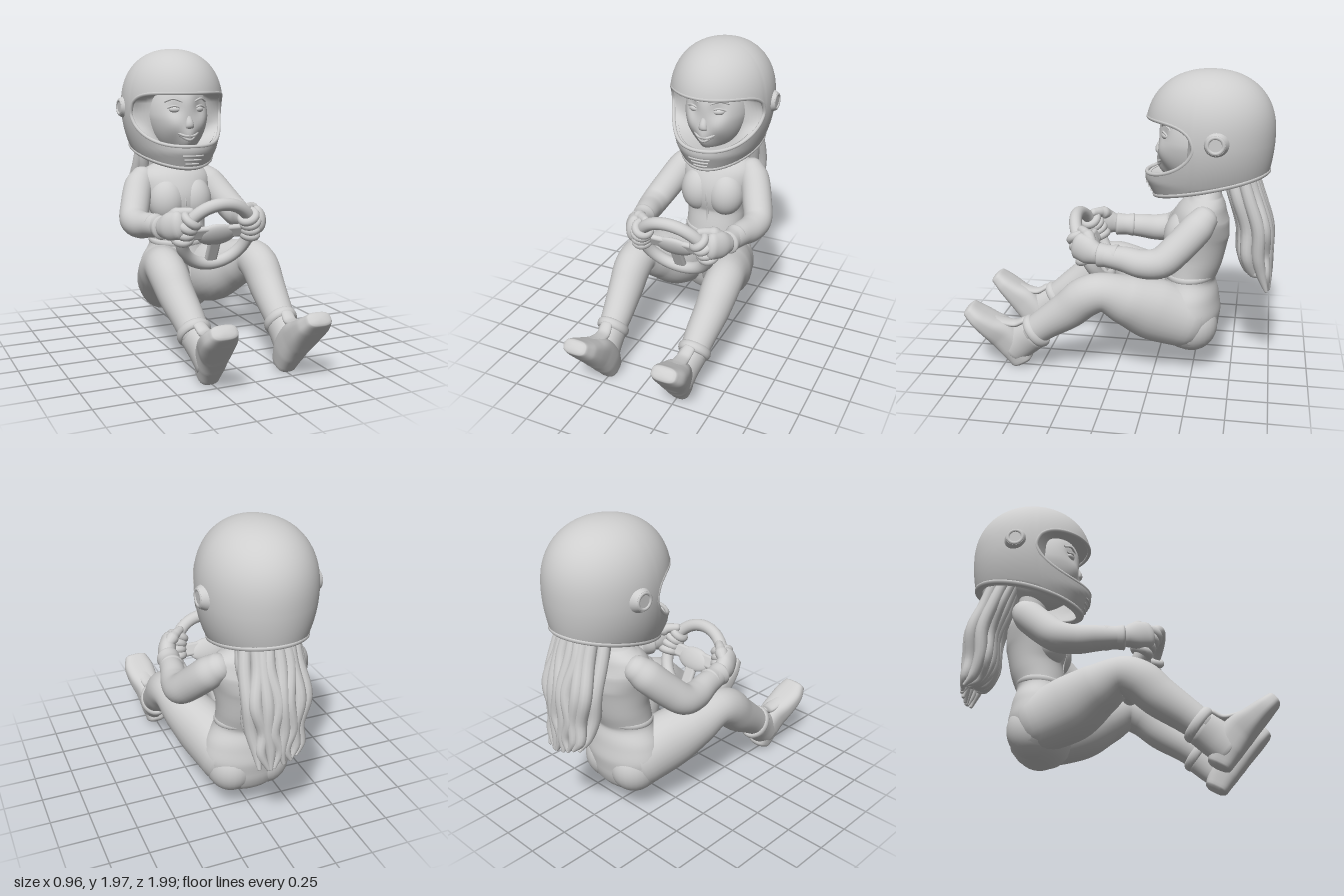
import * as THREE from 'three';
import { mergeVertices } from 'three/addons/utils/BufferGeometryUtils.js';
import { RoundedBoxGeometry } from 'three/addons/geometries/RoundedBoxGeometry.js';

const V = (x, y, z) => new THREE.Vector3(x, y, z);
const grey = new THREE.MeshStandardMaterial({ color: 0xcecece, side: THREE.DoubleSide });
grey.name = 'plain grey';

function mesh(name, geo, pos = [0, 0, 0], rot = [0, 0, 0], scale = [1, 1, 1]) {
  const m = new THREE.Mesh(geo, grey);
  m.name = name;
  m.position.set(...pos);
  m.rotation.set(...rot);
  m.scale.set(...scale);
  return m;
}

// smooth surface from a rule (row, column) -> point, with optional holes
function gridGeo(rows, cols, fn, hole = () => false) {
  const pos = [], idx = [];
  for (let i = 0; i <= rows; i++)
    for (let j = 0; j <= cols; j++) pos.push(...fn(i, j).toArray());
  for (let i = 0; i < rows; i++)
    for (let j = 0; j < cols; j++) {
      if (hole(i, j)) continue;
      const a = i * (cols + 1) + j, c = a + cols + 1;
      idx.push(a, a + 1, c, a + 1, c + 1, c);
    }
  const g = new THREE.BufferGeometry();
  g.setAttribute('position', new THREE.Float32BufferAttribute(pos, 3));
  g.setIndex(idx);
  const merged = mergeVertices(g, 1e-5);
  merged.computeVertexNormals();
  return merged;
}

// body through stations [x, y, z, halfWidth, halfDepth], rounded at both ends
function loft(name, st, { n = 28, steps = 6, p = 2, round = 0.8 } = {}) {
  const path = new THREE.CatmullRomCurve3(st.map(s => V(s[0], s[1], s[2])));
  const size = new THREE.CatmullRomCurve3(st.map(s => V(s[3], s[4] ?? s[3], 0)));
  const body = (st.length - 1) * steps, C = 4, rows = body + 2 * C;
  const sp = v => Math.sign(v) * Math.abs(v) ** (2 / p);
  return mesh(name, gridGeo(rows, n, (i, j) => {
    const t = THREE.MathUtils.clamp((i - C) / body, 0, 1);
    const over = i < C ? i - C : Math.max(0, i - C - body);
    const th = over / C * Math.PI / 2, k = Math.abs(over) === C ? 0 : Math.cos(th);
    const tan = path.getTangent(t), s = size.getPoint(t);
    const side = V(1, 0, 0).addScaledVector(tan, -tan.x).normalize();
    const up = tan.clone().cross(side);
    const a = (j % n) / n * Math.PI * 2;
    return path.getPoint(t)
      .addScaledVector(tan, Math.sin(th) * Math.min(s.x, s.y) * round)
      .addScaledVector(side, sp(Math.cos(a)) * s.x * k)
      .addScaledVector(up, sp(Math.sin(a)) * s.y * k);
  }));
}

function tube(name, pts, r, closed = false) {
  const c = new THREE.CatmullRomCurve3(pts.map(q => q.isVector3 ? q : V(...q)), closed);
  return mesh(name, new THREE.TubeGeometry(c, pts.length * 4, r, 8, closed));
}

// helmet surface at azimuth a (0 = front) and height y
function shell(a, y, inset = 0) {
  const up = Math.max(0, y - 1.6) / 0.39, d = Math.max(0, 1.6 - y);
  const k = Math.max(0, 1 - up ** 2.3) ** 0.4545;
  const zf = -0.16 - 0.5 * Math.max(0, 1.3 - y), zb = -0.968 + 0.5 * d * d;
  const hw = (0.352 - 0.71 * d * d) * k - inset, hd = (zf - zb) / 2 * k - inset;
  return V(Math.sin(a) * hw * (1 - 0.04 * Math.max(0, Math.cos(a))), y, (zf + zb) / 2 + Math.cos(a) * hd);
}

function helmet() {
  const g = new THREE.Group();
  g.name = 'helmet';
  const N = 96, O = 21, open = Math.PI * 2 / N * O;
  const turn = j => { const k = j % N; return -(k > N / 2 ? k - N : k) / N * Math.PI * 2; };
  const q = a => Math.min(1, Math.abs(a) / open);
  const brow = a => 1.55 + 0.145 * Math.sqrt(1 - q(a) ** 6);
  const chin = a => 1.55 - 0.21 * (1 - q(a) ** 3) ** 0.6;
  const rim = a => 1.27 - 0.09 * Math.cos(a);
  const mix = THREE.MathUtils.lerp;
  // outside from crown to rim, then back up the inside
  g.add(mesh('helmetShell', gridGeo(36, N, (i, j) => {
    const a = turn(j);
    if (i <= 18) return shell(a, mix(1.99, brow(a), 1 - Math.cos(i / 18 * Math.PI / 2)));
    if (i <= 27) return shell(a, mix(chin(a), rim(a), (i - 19) / 8));
    return shell(a, mix(rim(a), chin(a), (i - 28) / 8), 0.04);
  }, (i, j) => i === 18 && (j < O || j >= N - O))));
  // edge trims and the lining that narrows to the face
  const edge = [], base = [];
  for (let i = -O; i < O; i++) edge.push([i / O * open, brow(i / O * open)]);
  for (let i = O; i > -O; i--) edge.push([i / O * open, chin(i / O * open)]);
  for (let i = 0; i < 48; i++) { const a = i / 24 * Math.PI; base.push(shell(a, rim(a) + 0.012, 0.008)); }
  g.add(tube('openingTrim', edge.map(([a, y]) => shell(a, y, 0.01)), 0.013, true), tube('rimTrim', base, 0.016, true));
  g.add(mesh('lining', gridGeo(6, edge.length, (i, j) => {
    const [a, y] = edge[j % edge.length], from = shell(a, y, 0.01);
    const t = Math.atan2(from.y - 1.53, from.x * 0.65);
    return from.lerp(V(0.195 * Math.cos(t), 1.53 + 0.23 * Math.sin(t), -0.44), i / 6);
  })));
  // visor pivots
  for (const s of [1, -1]) {
    g.add(mesh('pivotDisc', new THREE.CylinderGeometry(0.06, 0.085, 0.05, 32), [s * 0.345, 1.59, -0.62], [0, 0, -s * Math.PI / 2]));
    g.add(mesh('pivotRing', new THREE.TorusGeometry(0.048, 0.012, 10, 32), [s * 0.365, 1.59, -0.62], [0, Math.PI / 2, 0]));
  }
  // chin vents
  for (let i = 0; i < 3; i++)
    g.add(tube('chinVent', [-1, -0.5, 0, 0.5, 1].map(u => shell(u * (0.2 + 0.04 * i), 1.22 + 0.028 * i, 0)), 0.008));
  return g;
}

function face() {
  const g = new THREE.Group();
  g.name = 'head';
  g.position.z = 0.028;
  // skull with a tapered jaw, full cheeks, forehead and chin
  const skull = new THREE.SphereGeometry(1, 64, 48), p = skull.attributes.position;
  const bump = (x, y, cx, cy, r) => Math.exp(-((x - cx) ** 2 + (y - cy) ** 2) / (r * r));
  for (let i = 0; i < p.count; i++) {
    const x = p.getX(i), y = p.getY(i), z = p.getZ(i);
    if (z > 0) p.setZ(i, z + 0.1 * bump(Math.abs(x), y, 0.48, -0.2, 0.3) + 0.16 * bump(x, y, 0, -0.72, 0.28)
      + 0.12 * bump(x, y, 0, -0.42, 0.25) - 0.09 * bump(Math.abs(x), y, 0.42, 0.2, 0.2) + 0.1 * bump(x, y, 0, 0.55, 0.4));
    p.setX(i, x * (1 - 0.15 * Math.max(0, -y)));
  }
  skull.computeVertexNormals();
  g.add(mesh('face', skull, [0, 1.53, -0.52], [0, 0, 0], [0.215, 0.29, 0.24]));
  g.add(loft('nose', [[0, 1.57, -0.3, 0.02, 0.016], [0, 1.53, -0.29, 0.022, 0.02], [0, 1.48, -0.273, 0.03, 0.025], [0, 1.463, -0.28, 0.034, 0.018]], { n: 16 }));
  g.add(tube('upperLip', [[-0.07, 1.425, -0.3], [-0.035, 1.408, -0.276], [0, 1.406, -0.269], [0.035, 1.408, -0.276], [0.07, 1.425, -0.3]], 0.01));
  g.add(tube('lowerLip', [[-0.06, 1.413, -0.3], [0, 1.38, -0.272], [0.06, 1.413, -0.3]], 0.011));
  for (const s of [1, -1]) {
    g.add(mesh('eye', new THREE.SphereGeometry(0.035, 20, 14), [s * 0.088, 1.583, -0.32], [0, s * 0.35, 0], [1.1, 0.6, 0.6]));
    g.add(tube('eyelid', [[s * 0.045, 1.588, -0.305], [s * 0.09, 1.608, -0.307], [s * 0.135, 1.595, -0.335]], 0.007));
    g.add(tube('eyebrow', [[s * 0.04, 1.635, -0.295], [s * 0.1, 1.655, -0.315], [s * 0.15, 1.635, -0.355]], 0.007));
  }
  return g;
}

function ponytail() {
  const g = new THREE.Group();
  g.name = 'hair';
  g.add(loft('hairCore', [[0, 1.42, -0.74, 0.15, 0.09], [0, 1.22, -0.8, 0.165, 0.1], [0, 1.02, -0.86, 0.165, 0.105],
    [0, 0.85, -0.865, 0.14, 0.09], [0, 0.72, -0.895, 0.09, 0.045]]));
  for (let i = 0; i < 16; i++) {
    const back = i % 2, u = (i - 7.5) / 7.5, w = Math.sin(i * 2.3) * 0.018;
    const o = (back ? -0.08 : 0.075) * Math.sqrt(1.1 - u * u), end = (back ? 0.6 : 0.66) + 0.06 * Math.sin(i * 1.7) ** 2;
    g.add(loft('strand', [[u * 0.15, 1.4, -0.74 + o, 0.035], [u * 0.175 + w, 1.22, -0.8 + o, 0.04],
      [u * 0.18 - w, 1.02, -0.865 + o, 0.042], [u * 0.16 + w, 0.84, -0.872 + o, 0.04],
      [u * 0.14 - w, 0.72, -0.905 + o * 0.7, 0.032], [u * 0.13 + w, end, -0.95 + o * 0.3, 0.012]], { n: 12, steps: 5 }));
  }
  return g;
}

function torso() {
  const g = new THREE.Group();
  g.name = 'torso';
  g.add(loft('body', [[0, 0.3, -0.465, 0.27, 0.19], [0, 0.42, -0.46, 0.295, 0.208], [0, 0.54, -0.465, 0.265, 0.187],
    [0, 0.66, -0.47, 0.205, 0.16], [0, 0.8, -0.505, 0.212, 0.172], [0, 0.95, -0.51, 0.24, 0.2],
    [0, 1.07, -0.535, 0.265, 0.175], [0, 1.15, -0.555, 0.23, 0.125], [0, 1.2, -0.56, 0.13, 0.09]], { n: 40 }));
  g.add(loft('neck', [[0, 1.12, -0.56, 0.11], [0, 1.22, -0.555, 0.095], [0, 1.4, -0.54, 0.1]]));
  g.add(mesh('belt', new THREE.TorusGeometry(0.198, 0.014, 10, 48), [0, 0.665, -0.47], [Math.PI / 2 + 0.1, 0, 0], [1, 0.8, 1.6]));
  g.add(tube('zip', [[0, 1.17, -0.435], [0, 1.07, -0.362], [0, 0.95, -0.312], [0, 0.8, -0.334], [0, 0.66, -0.31], [0, 0.54, -0.278], [0, 0.42, -0.252]], 0.006));
  for (const s of [1, -1]) {
    g.add(mesh('bust', new THREE.SphereGeometry(1, 28, 20), [s * 0.1, 0.945, -0.42], [-0.1, s * 0.25, 0], [0.13, 0.16, 0.125]));
    g.add(mesh('seat', new THREE.SphereGeometry(1, 28, 20), [s * 0.115, 0.345, -0.485], [0, 0, 0], [0.16, 0.18, 0.172]));
  }
  return g;
}

function leg(s) {
  const g = new THREE.Group();
  g.name = s > 0 ? 'leftLeg' : 'rightLeg';
  g.add(loft('trouserLeg', [[0.145, 0.38, -0.465, 0.155, 0.19], [0.19, 0.458, -0.255, 0.175, 0.207], [0.265, 0.545, -0.08, 0.155, 0.166],
    [0.315, 0.605, 0.07, 0.125, 0.125], [0.322, 0.57, 0.175, 0.124, 0.13], [0.315, 0.47, 0.29, 0.114, 0.124],
    [0.3, 0.36, 0.44, 0.1, 0.105], [0.295, 0.29, 0.53, 0.09, 0.095]].map(([x, ...r]) => [s * x, ...r])));
  g.add(mesh('ankleCuff', new THREE.TorusGeometry(0.086, 0.02, 12, 32), [s * 0.295, 0.295, 0.515], [0.64, 0, 0], [1, 1.14, 1.6]));
  // boot: u runs heel to toe, v rises from the sole
  const P = (x, u, v, a, b) => [s * x, 0.008 + 0.78 * u + 0.63 * v, 0.678 + 0.63 * u - 0.78 * v, a, b];
  g.add(loft('boot', [P(0.26, 0.012, 0.075, 0.065, 0.075), P(0.265, 0.12, 0.097, 0.082, 0.098), P(0.275, 0.23, 0.099, 0.09, 0.1),
    P(0.29, 0.33, 0.078, 0.104, 0.079), P(0.3, 0.42, 0.06, 0.106, 0.062), P(0.302, 0.5, 0.046, 0.082, 0.047)], { n: 40, p: 2.8, round: 0.45 }));
  g.add(loft('bootShaft', [P(0.268, 0.115, 0.08, 0.08, 0.112), P(0.28, 0.118, 0.18, 0.08, 0.114), P(0.292, 0.115, 0.28, 0.088, 0.108)], { round: 0.3 }));
  g.add(loft('bootTongue', [P(0.295, 0.225, 0.29, 0.04, 0.02), P(0.285, 0.24, 0.22, 0.045, 0.022), P(0.287, 0.295, 0.168, 0.05, 0.02), P(0.295, 0.37, 0.125, 0.045, 0.016)], { n: 16 }));
  return g;
}

function arm(s) {
  const g = new THREE.Group();
  g.name = s > 0 ? 'leftArm' : 'rightArm';
  const m = rows => rows.map(([x, ...r]) => [s * x, ...r]);
  g.add(loft('sleeve', m([[0.225, 1.1, -0.56, 0.085], [0.275, 1.04, -0.51, 0.102], [0.335, 0.935, -0.41, 0.101], [0.38, 0.852, -0.31, 0.097],
    [0.376, 0.835, -0.2, 0.09], [0.35, 0.85, -0.08, 0.08], [0.33, 0.858, 0.06, 0.066]])));
  g.add(loft('cuff', m([[0.338, 0.856, -0.03, 0.078, 0.08], [0.332, 0.858, 0.02, 0.07, 0.072], [0.325, 0.86, 0.08, 0.076, 0.078]]), { round: 0.25 }));
  g.add(loft('palm', m([[0.325, 0.865, 0.1, 0.055, 0.068], [0.305, 0.88, 0.16, 0.06, 0.09], [0.275, 0.895, 0.225, 0.053, 0.088]])));
  g.add(loft('thumb', m([[0.3, 0.935, 0.14, 0.034], [0.245, 0.965, 0.18, 0.034], [0.19, 0.975, 0.225, 0.027]]), { n: 14 }));
  return g;
}

function wheel() {
  const g = new THREE.Group();
  g.name = 'steeringWheel';
  g.position.set(0, 0.81, 0.19);
  g.rotation.x = 0.46;
  const R = 0.235;
  g.add(mesh('rim', new THREE.TorusGeometry(R, 0.041, 18, 64)));
  g.add(mesh('crossSpoke', new RoundedBoxGeometry(0.44, 0.09, 0.04, 4, 0.018), [0, 0.02, 0]));
  g.add(mesh('hub', new THREE.SphereGeometry(0.1, 32, 20), [0, 0, 0], [0, 0, 0], [1.35, 0.8, 0.34]));
  g.add(mesh('lowerSpoke', new RoundedBoxGeometry(0.085, 0.2, 0.035, 4, 0.016), [0, -0.12, 0]));
  // fingers wrapped around the rim
  for (const s of [1, -1])
    for (let i = 0; i < 4; i++) {
      const a = -0.04 + i * 0.2;
      g.add(mesh('finger', new THREE.TorusGeometry(0.048, 0.028, 12, 28), [s * R * Math.cos(a), R * Math.sin(a), 0], [Math.PI / 2, s * a, 0]));
    }
  return g;
}

export function createModel() {
  const model = new THREE.Group();
  model.name = 'seatedDriver';
  model.add(helmet(), face(), ponytail(), torso(), wheel());
  for (const s of [1, -1]) model.add(leg(s), arm(s));
  return model;
}
